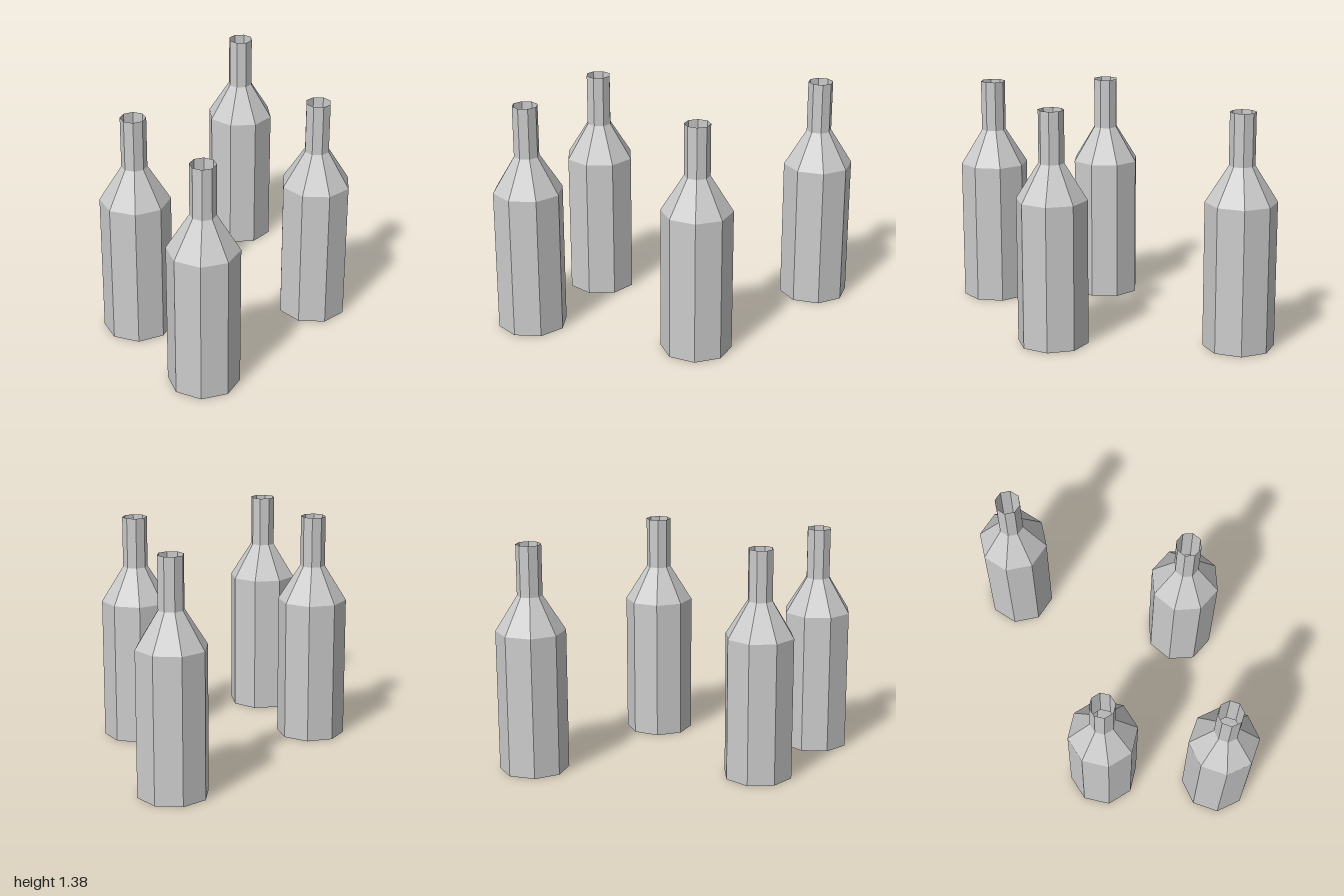
import * as THREE from 'three';

const SIDES = 8;
const BODY_RADIUS = 0.208;
const NECK_RADIUS = 0.075;

// Thin-walled bottle: closed base, straight body, sloped shoulder, open neck
function bottleGeometry() {
  const profile = [
    [0, 0],
    [BODY_RADIUS, 0],
    [BODY_RADIUS, 0.858],
    [NECK_RADIUS, 1.07],
    [NECK_RADIUS, 1.376],
  ].map(([r, y]) => new THREE.Vector2(r, y));
  return new THREE.LatheGeometry(profile, SIDES);
}

export function createModel() {
  const group = new THREE.Group();
  group.name = 'bottles';
  const material = new THREE.MeshStandardMaterial({
    color: 0xcccccc,
    flatShading: true,
    side: THREE.DoubleSide,
  });
  const geometry = bottleGeometry();

  // x, z and turn in degrees of each bottle
  const placements = [
    ['backLeftBottle', 0.45, -0.794, 8],
    ['frontLeftBottle', 0.53, 0.28, 0],
    ['middleRightBottle', -0.542, 0.12, -17],
    ['frontRightBottle', -0.361, 0.804, -23.6],
  ];
  for (const [name, x, z, turn] of placements) {
    const bottle = new THREE.Mesh(geometry, material);
    bottle.name = name;
    bottle.position.set(x, 0, z);
    bottle.rotation.y = THREE.MathUtils.degToRad(turn);
    group.add(bottle);
  }
  return group;
}
